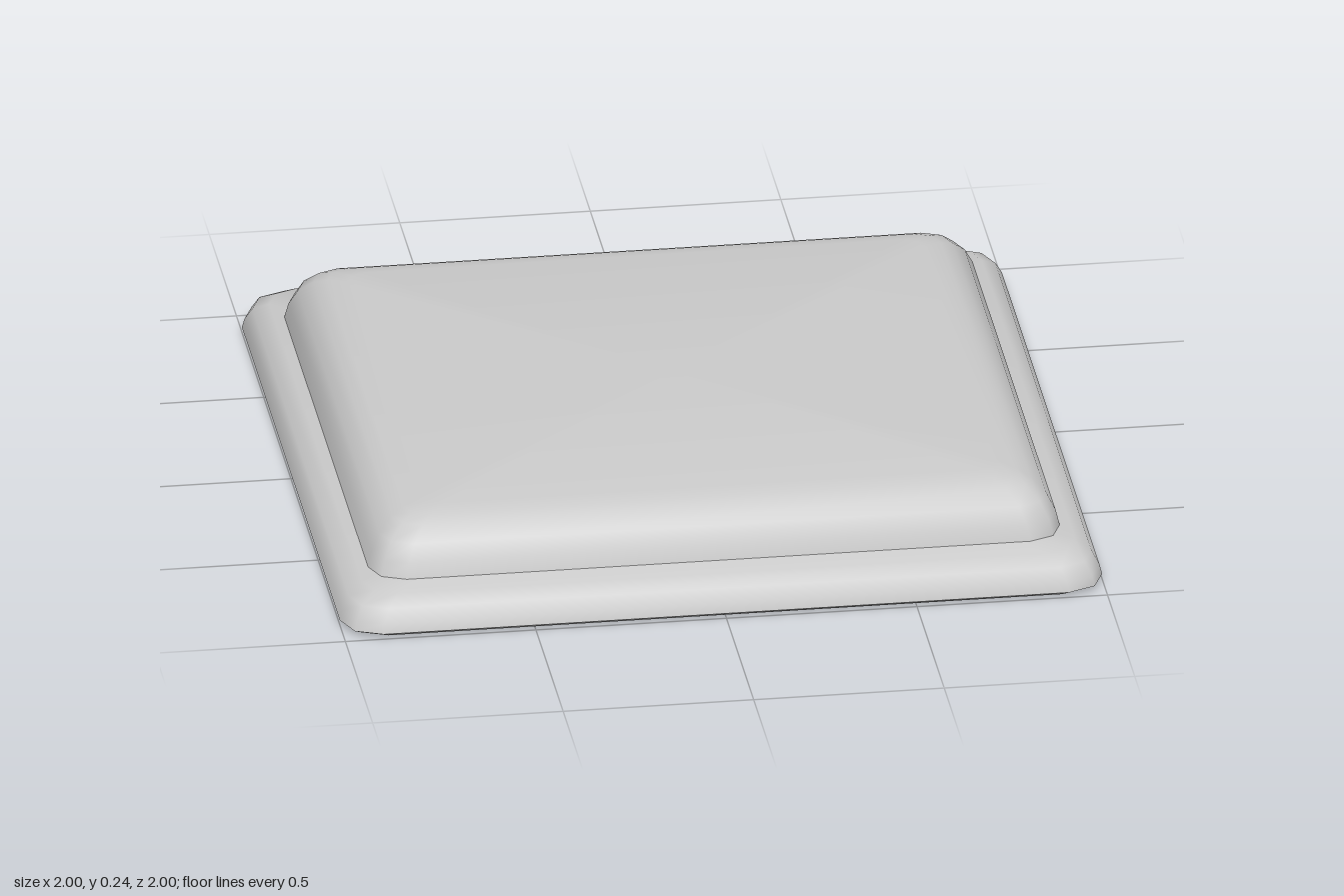
import * as THREE from 'three';
import { toCreasedNormals } from 'three/addons/utils/BufferGeometryUtils.js';

const CORNER_STEPS = 2;

// Rounded rectangle as a loop of [x, z] points
function roundedLoop(halfX, halfZ, radius) {
  const points = [];
  for (let corner = 0; corner < 4; corner++) {
    const sx = corner === 0 || corner === 3 ? 1 : -1;
    const sz = corner < 2 ? 1 : -1;
    for (let i = 0; i <= CORNER_STEPS; i++) {
      const angle = (corner + i / CORNER_STEPS) * Math.PI / 2;
      points.push([
        sx * (halfX - radius) + radius * Math.cos(angle),
        sz * (halfZ - radius) + radius * Math.sin(angle),
      ]);
    }
  }
  return points;
}

// Closed slab lofted through [inset, height] steps, bottom to top
function roundedSlab(halfX, halfZ, radius, profile) {
  const positions = [];
  const index = [];
  const count = 4 * (CORNER_STEPS + 1);
  for (const [inset, y] of profile) {
    const loop = roundedLoop(halfX - inset, halfZ - inset, radius - inset * 0.25);
    for (const [x, z] of loop) positions.push(x, y, z);
  }
  const last = (profile.length - 1) * count;
  const bottom = profile.length * count;
  positions.push(0, profile[0][1], 0, 0, profile[profile.length - 1][1], 0);
  for (let i = 0; i < count; i++) {
    const next = (i + 1) % count;
    for (let row = 0; row < last; row += count) {
      const a = row + i, b = row + next;
      index.push(a, a + count, b, b, a + count, b + count);
    }
    index.push(bottom, i, next, bottom + 1, last + next, last + i);
  }
  const geometry = new THREE.BufferGeometry();
  geometry.setAttribute('position', new THREE.Float32BufferAttribute(positions, 3));
  geometry.setIndex(index);
  return toCreasedNormals(geometry, 0.9);
}

export function createModel() {
  const group = new THREE.Group();
  group.name = 'steppedSlab';
  const material = new THREE.MeshStandardMaterial({ color: 0xcccccc });

  // Wide lower plate with a softened rim
  const base = new THREE.Mesh(roundedSlab(1, 1, 0.1, [
    [0.022, 0], [0, 0.014], [0.006, 0.04], [0.025, 0.075], [0.065, 0.1],
  ]), material);
  base.name = 'basePlate';

  // Raised pad with a large rounded shoulder
  const pad = new THREE.Mesh(roundedSlab(0.91, 0.86, 0.09, [
    [0, 0.09], [0.012, 0.14], [0.035, 0.185], [0.072, 0.22], [0.105, 0.234], [0.155, 0.243],
  ]), material);
  pad.name = 'raisedPad';

  group.add(base, pad);
  return group;
}
